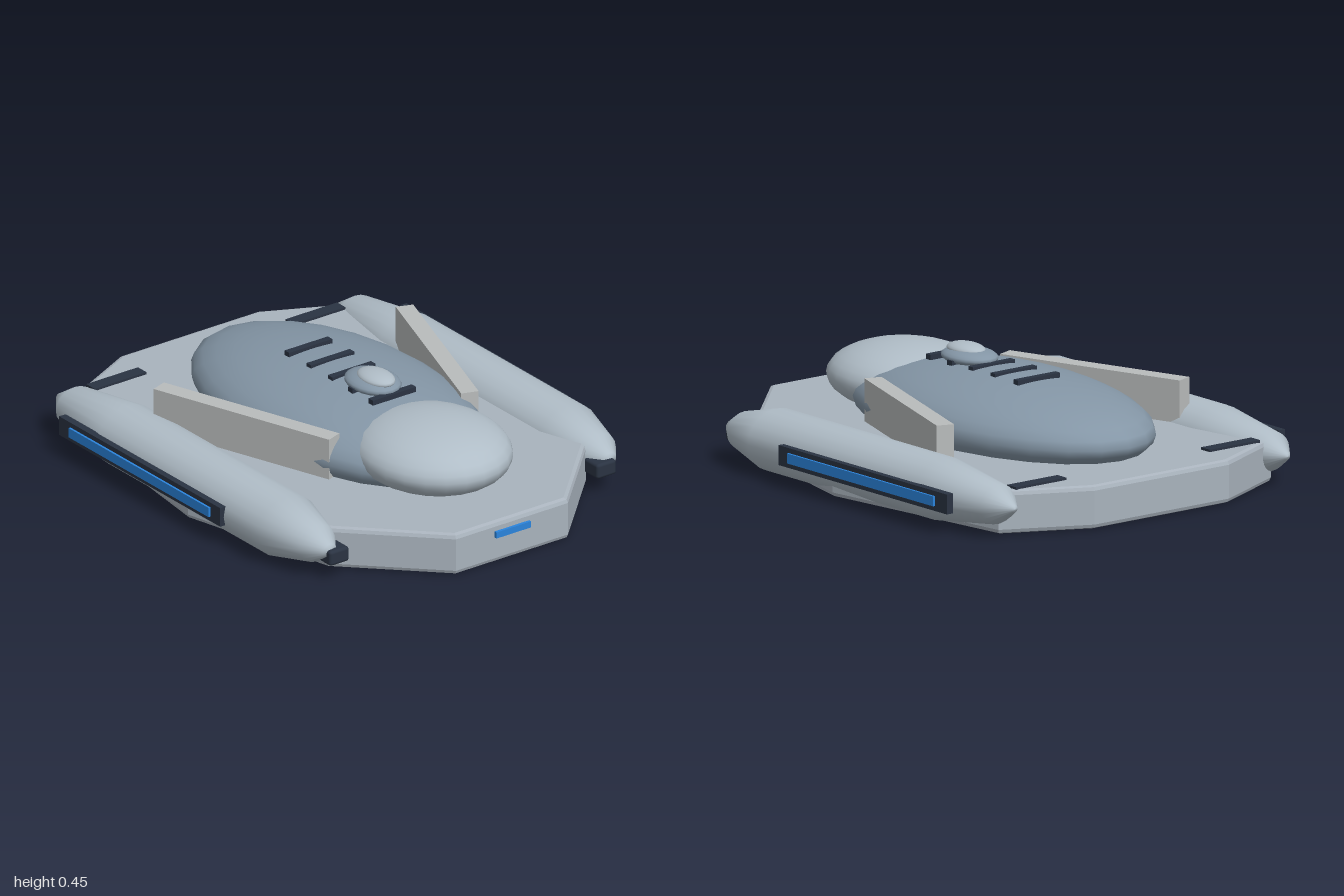
import * as THREE from 'three';
import { RoundedBoxGeometry } from 'three/addons/geometries/RoundedBoxGeometry.js';

const paint = (color) => new THREE.MeshStandardMaterial({ color });

export function createModel() {
  const model = new THREE.Group();
  model.name = 'hoverCraft';
  const hullGrey = paint(0xa9b3bd), podGrey = paint(0xb0bdc7), domeGrey = paint(0x8496a6);
  const finGrey = paint(0xb9bcbc), dark = paint(0x2a3342), blue = paint(0x2b84dc);

  const add = (name, geometry, material, x = 0, y = 0, z = 0) => {
    const mesh = new THREE.Mesh(geometry, material);
    mesh.name = name;
    mesh.position.set(x, y, z);
    model.add(mesh);
    return mesh;
  };
  const box = (name, material, size, pos) => add(name, new THREE.BoxGeometry(...size), material, ...pos);
  const ellipsoid = (name, material, radii, pos, w = 24, h = 16) =>
    add(name, new THREE.SphereGeometry(1, w, h).scale(...radii), material, ...pos);

  // Ten-sided hull plate with a small bevel
  const half = [[0.26, 0.985], [0.6, 0.647], [0.76, 0], [0.65, -0.84], [0.32, -1]];
  const outline = [...half, ...half.map(([x, z]) => [-x, z]).reverse()];
  const bevel = 0.018;
  const hull = new THREE.ExtrudeGeometry(
    new THREE.Shape(outline.map(([x, z]) => new THREE.Vector2(x, -z))),
    { depth: 0.165 - 2 * bevel, bevelThickness: bevel, bevelSize: bevel, bevelOffset: -bevel, bevelSegments: 2 }
  ).rotateX(-Math.PI / 2);
  add('hull', hull, hullGrey, 0, 0.007 + bevel, 0);
  box('frontLight', blue, [0.16, 0.025, 0.03], [0, 0.123, 0.982]);

  // Main dome and the smaller cockpit dome
  ellipsoid('mainDome', domeGrey, [0.415, 0.165, 0.74], [0, 0.23, -0.07]);
  ellipsoid('cockpitDome', podGrey, [0.288, 0.13, 0.33], [0, 0.265, 0.49]);

  // Slats along the top of the dome
  for (const z of [-0.265, -0.13, 0, 0.125, 0.25]) {
    box('domeSlat', dark, [0.2, 0.02, 0.028], [0, 0.392, z]);
  }

  // Small turret
  ellipsoid('turretBase', domeGrey, [0.095, 0.032, 0.125], [0, 0.405, 0.13], 20, 12);
  ellipsoid('turretCap', podGrey, [0.06, 0.025, 0.09], [0, 0.428, 0.15], 20, 12);

  // Side pods and the parts that repeat on both sides
  const podProfile = [[0, -0.94], [0.015, -0.935], [0.088, -0.84], [0.14, -0.52],
    [0.14, 0.46], [0.085, 0.65], [0.03, 0.725], [0, 0.73]].map(([r, z]) => new THREE.Vector2(r, z));
  const podGeometry = new THREE.LatheGeometry(podProfile, 20).rotateX(Math.PI / 2).scale(1, 0.85, 1);
  for (const s of [1, -1]) {
    add('sidePod', podGeometry, podGrey, s * 0.65, 0.122, 0);
    add('podNozzle', new RoundedBoxGeometry(0.09, 0.06, 0.12, 2, 0.012), dark, s * 0.62, 0.097, 0.69);
    box('sideStrip', dark, [0.03, 0.076, 0.99], [s * 0.791, 0.125, -0.235]);
    box('sideLight', blue, [0.03, 0.038, 0.86], [s * 0.8, 0.125, -0.23]);
    box('rearVent', dark, [0.24, 0.02, 0.052], [s * 0.462, 0.171, -0.834]);
    const fin = box('deckFin', finGrey, [0.068, 0.185, 0.783], [s * 0.4425, 0.2425, -0.06]);
    fin.rotation.y = -s * 0.332;
  }
  return model;
}
